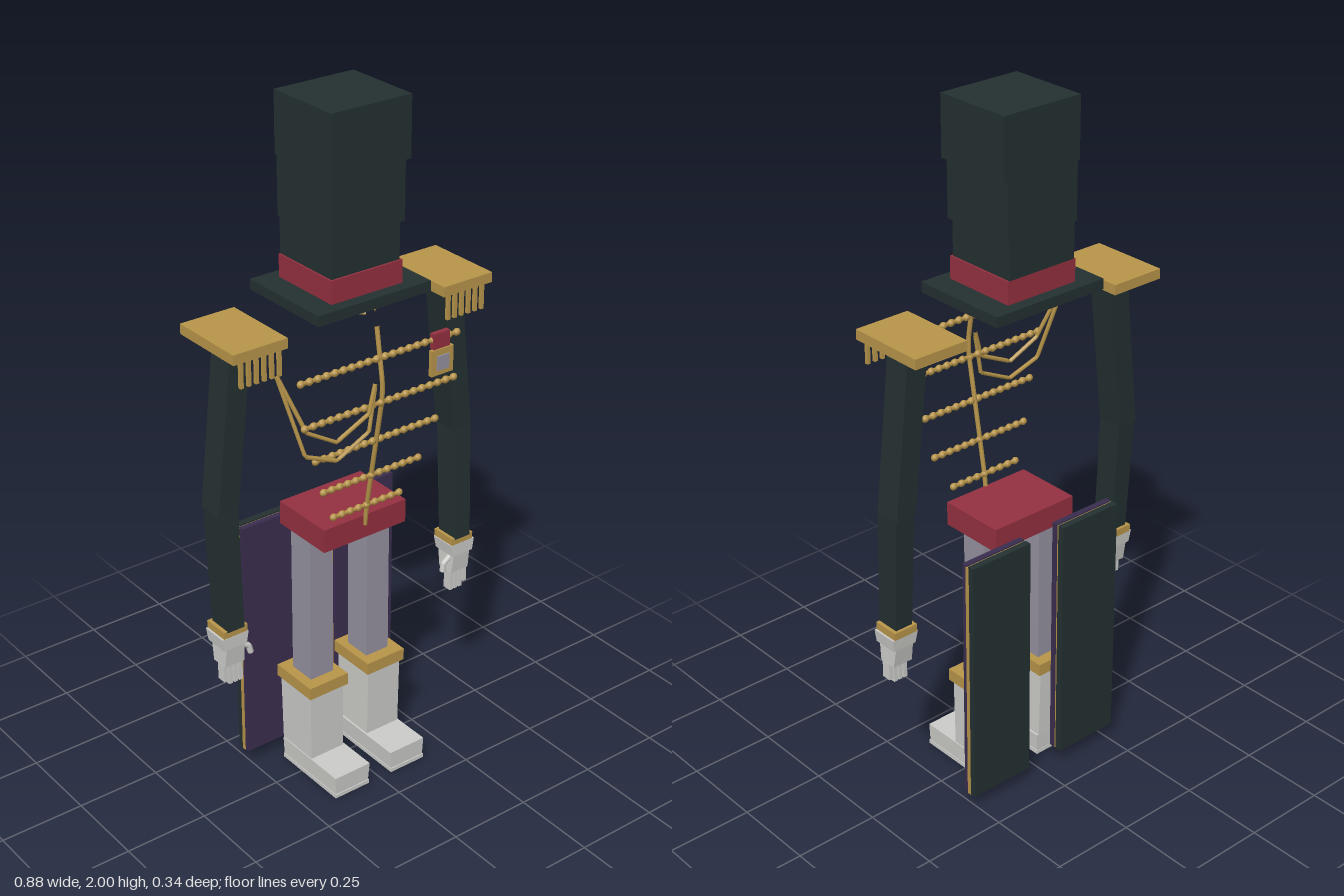
import * as THREE from 'three';

const mat = (name, color) => {
  const m = new THREE.MeshStandardMaterial({ color });
  m.name = name;
  return m;
};

export function createModel() {
  const model = new THREE.Group();
  model.name = 'ceremonialOutfit';
  const cloth = mat('dark green cloth', 0x243030);
  const gold = mat('gold', 0xb8954a);
  const red = mat('red', 0x943040);
  const lining = mat('purple lining', 0x3a2d50);
  const white = mat('white leather', 0xccccc9);
  const grey = mat('grey trousers', 0x9592a0);

  const add = (parent, name, geo, material) => {
    const m = new THREE.Mesh(geo, material);
    m.name = name;
    parent.add(m);
    return m;
  };
  // Box given by its extents on each axis
  const box = (parent, name, material, [x0, x1], [y0, y1], [z0, z1]) =>
    add(parent, name, new THREE.BoxGeometry(x1 - x0, y1 - y0, z1 - z0)
      .translate((x0 + x1) / 2, (y0 + y1) / 2, (z0 + z1) / 2), material);
  // Block between a bottom and a top rectangle [x0, x1, z0, z1]
  const loft = (parent, name, material, y0, y1, bottom, top) => {
    const geo = new THREE.BoxGeometry(1, 1, 1);
    const p = geo.attributes.position;
    for (let i = 0; i < p.count; i++) {
      const up = p.getY(i) > 0, r = up ? top : bottom;
      p.setXYZ(i, p.getX(i) > 0 ? r[1] : r[0], up ? y1 : y0, p.getZ(i) > 0 ? r[3] : r[2]);
    }
    geo.computeVertexNormals();
    return add(parent, name, geo, material);
  };
  // Cord of straight pieces through points
  const cord = (parent, name, material, points, radius) => {
    const path = new THREE.CurvePath();
    const v = points.map((p) => new THREE.Vector3(...p));
    for (let i = 1; i < v.length; i++) path.add(new THREE.LineCurve3(v[i - 1], v[i]));
    return add(parent, name, new THREE.TubeGeometry(path, 12 * (v.length - 1), radius, 6), material);
  };

  // Hat
  const hat = new THREE.Group();
  hat.name = 'hat';
  model.add(hat);
  box(hat, 'brim', cloth, [-0.183, 0.183], [1.465, 1.495], [-0.17, 0.126]);
  box(hat, 'hatBand', red, [-0.115, 0.115], [1.495, 1.56], [-0.135, 0.091]);
  box(hat, 'crownLower', cloth, [-0.11, 0.11], [1.56, 1.665], [-0.135, 0.085]);
  box(hat, 'crownMiddle', cloth, [-0.113, 0.122], [1.665, 1.83], [-0.14, 0.09]);
  box(hat, 'crownTop', cloth, [-0.115, 0.137], [1.83, 2], [-0.145, 0.093]);

  // Sash at the waist
  box(model, 'sash', red, [-0.14, 0.14], [0.77, 0.84], [-0.114, 0.088]);

  // Sides: built at +x, the other mirrored by sign
  for (const s of [1, -1]) {
    const side = new THREE.Group();
    side.name = s > 0 ? 'leftSide' : 'rightSide';
    model.add(side);
    const X = (a, b) => (s > 0 ? [a, b] : [-b, -a]);
    const R = (a, b, z0, z1) => [...X(a, b), z0, z1];

    // Collar trim
    cord(side, 'collarTrim', gold, [[s * 0.115, 1.462, 0.03], [s * 0.012, 1.447, 0.1]], 0.005);

    // Epaulette with a fringe along the front
    box(side, 'epaulette', gold, X(0.255, 0.422), [1.416, 1.445], [-0.141, 0.095]);
    for (let i = 0; i < 6; i++) {
      const x = 0.277 + i * 0.0235;
      box(side, 'fringe', gold, X(x - 0.005, x + 0.005), [1.343, 1.418], [0.081, 0.091]);
    }

    // Arm
    loft(side, 'upperArm', cloth, 0.95, 1.384, R(0.368, 0.43, -0.06, 0.02), R(0.32, 0.384, -0.06, 0.02));
    loft(side, 'forearm', cloth, 0.6, 0.955, R(0.37, 0.425, -0.036, 0.036), R(0.369, 0.429, -0.056, 0.02));

    // Glove
    box(side, 'sleeveTrim', gold, X(0.36, 0.436), [0.583, 0.605], [-0.045, 0.035]);
    loft(side, 'gloveCuff', white, 0.545, 0.583, R(0.363, 0.437, -0.04, 0.035), R(0.357, 0.442, -0.044, 0.036));
    loft(side, 'palm', white, 0.485, 0.546, R(0.367, 0.43, -0.027, 0.026), R(0.37, 0.428, -0.038, 0.033));
    for (let i = 0; i < 4; i++) {
      const x = 0.375 + i * 0.0165, end = i === 3 ? 0.435 : 0.422;
      box(side, 'finger', white, X(x - 0.006, x + 0.006), [end, 0.488], [-0.008, 0.02]);
    }
    cord(side, 'thumb', white, [[s * 0.372, 0.535, 0.012], [s * 0.345, 0.52, 0.016], [s * 0.34, 0.497, 0.018]], 0.009);

    // Coat tail: lining in front, cloth behind, gold edging between
    box(side, 'tailLining', lining, X(0.06, 0.262), [0.045, 0.79], [-0.137, -0.12]);
    box(side, 'tailEdging', gold, X(0.063, 0.264), [0.043, 0.786], [-0.146, -0.134]);
    box(side, 'tailCloth', cloth, X(0.06, 0.263), [0.045, 0.79], [-0.164, -0.144]);

    // Leg and boot
    box(side, 'trouserLeg', grey, X(0.06, 0.138), [0.31, 0.775], [-0.066, 0.02]);
    box(side, 'bootTrim', gold, X(0.036, 0.168), [0.283, 0.32], [-0.1, 0.057]);
    loft(side, 'bootShaft', white, 0.06, 0.284, R(0.044, 0.157, -0.09, 0.045), R(0.046, 0.16, -0.093, 0.047));
    loft(side, 'bootFoot', white, 0.012, 0.068, R(0.042, 0.158, -0.086, 0.16), R(0.038, 0.16, -0.088, 0.162));
    box(side, 'sole', white, X(0.04, 0.16), [0, 0.012], [-0.087, 0.163]);
  }

  // Beaded braids across the chest: y, z, left end, right end
  const chest = new THREE.Group();
  chest.name = 'chestBraiding';
  model.add(chest);
  const rows = [
    [1.335, 0.147, -0.255, 0.257], [1.21, 0.155, -0.25, 0.243], [1.09, 0.133, -0.2, 0.2],
    [0.975, 0.113, -0.16, 0.16], [0.875, 0.094, -0.113, 0.111],
  ];
  const bead = new THREE.SphereGeometry(0.012, 8, 6).scale(1, 0.9, 0.75);
  for (const [y, z, x0, x1] of rows) {
    cord(chest, 'braidCord', gold, [[x0, y, z], [x1, y, z]], 0.006);
    const n = Math.round((x1 - x0) / 0.027);
    for (let i = 0; i <= n; i++)
      add(chest, 'braidBead', bead, gold).position.set(x0 + ((x1 - x0) * i) / n, y, z);
  }
  cord(chest, 'frontCord', gold,
    [[0, 0.81, 0.086], [0, 0.875, 0.094], [0, 1.22, 0.156], [0, 1.27, 0.156], [0, 1.42, 0.131]], 0.007);

  // Looped shoulder cords
  cord(chest, 'upperShoulderCord', gold, [[-0.3, 1.357, 0.105], [-0.242, 1.195, 0.152],
    [-0.155, 1.145, 0.163], [-0.05, 1.195, 0.164], [-0.028, 1.275, 0.162]], 0.006);
  cord(chest, 'lowerShoulderCord', gold, [[-0.3, 1.357, 0.103], [-0.25, 1.13, 0.156],
    [-0.155, 1.092, 0.165], [-0.05, 1.143, 0.165], [-0.028, 1.265, 0.162]], 0.006);

  // Medal
  const medal = new THREE.Group();
  medal.name = 'medal';
  model.add(medal);
  box(medal, 'ribbon', red, [0.17, 0.225], [1.31, 1.355], [0.142, 0.158]);
  box(medal, 'medalPlate', gold, [0.161, 0.235], [1.235, 1.31], [0.15, 0.162]);
  box(medal, 'medalCentre', grey, [0.178, 0.218], [1.25, 1.292], [0.16, 0.166]);

  return model;
}
